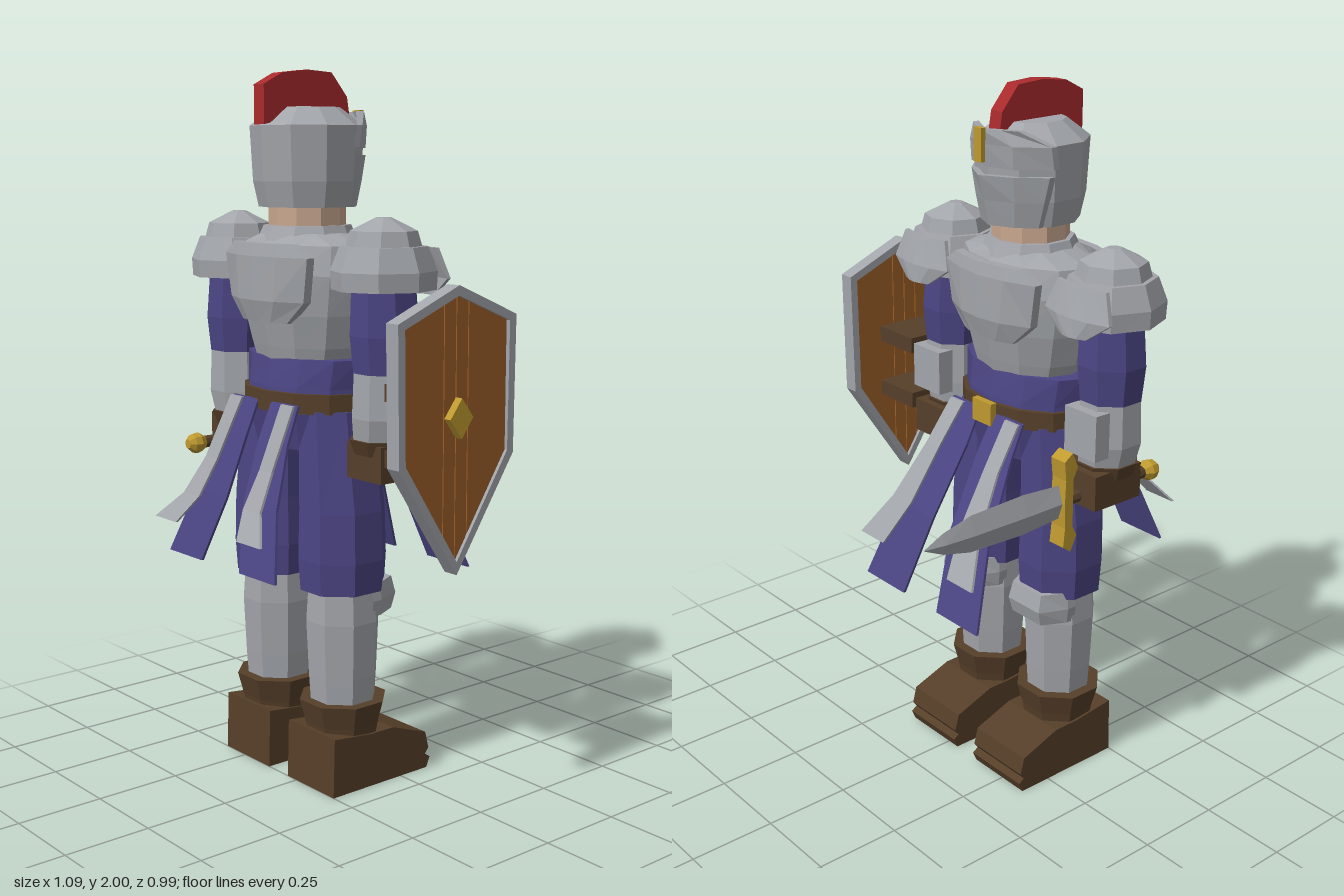
import * as THREE from 'three';

const mat = (name, color) => Object.assign(new THREE.MeshStandardMaterial({ color }), { name });

export function createModel() {
  const steel = mat('steel', 0xa2a5aa), cloth = mat('purpleCloth', 0x4b4583), leather = mat('brownLeather', 0x563f29);
  const wood = mat('shieldWood', 0x9b5f29), red = mat('redPlume', 0xa92a2c), gold = mat('gold', 0xbf9a30), skin = mat('skin', 0xc9a78f);
  const root = new THREE.Group();
  root.name = 'knight';
  const body = new THREE.Group();
  body.name = 'body';
  body.position.set(-0.085, 0, 0.13);
  root.add(body);

  // Adds a faceted mesh
  const add = (name, geo, material, x = 0, y = 0, z = 0) => {
    const g = geo.index ? geo.toNonIndexed() : geo;
    g.computeVertexNormals();
    const m = new THREE.Mesh(g, material);
    m.name = name;
    m.position.set(x, y, z);
    body.add(m);
    return m;
  };
  const box = (name, material, w, h, d, x, y, z) => add(name, new THREE.BoxGeometry(w, h, d), material, x, y, z);

  // Closed solid through rings of equal, even length; faces are turned outwards
  const loft = (rings) => {
    const n = rings[0].length, tris = [];
    const quad = (a, b, c, d) => tris.push([a, b, c], [a, c, d]);
    for (let r = 0; r + 1 < rings.length; r++)
      for (let i = 0; i < n; i++) {
        const j = (i + 1) % n;
        quad(rings[r][i], rings[r + 1][i], rings[r + 1][j], rings[r][j]);
      }
    const first = rings[0], last = rings[rings.length - 1];
    for (let i = 0; i < n / 2 - 1; i++) {
      quad(first[i], first[i + 1], first[n - 2 - i], first[n - 1 - i]);
      quad(last[n - 1 - i], last[n - 2 - i], last[i + 1], last[i]);
    }
    let vol = 0;
    for (const [a, b, c] of tris)
      vol += a[0] * (b[1] * c[2] - b[2] * c[1]) + a[1] * (b[2] * c[0] - b[0] * c[2]) + a[2] * (b[0] * c[1] - b[1] * c[0]);
    if (vol < 0) tris.forEach((t) => t.reverse());
    const g = new THREE.BufferGeometry();
    g.setAttribute('position', new THREE.Float32BufferAttribute(tris.flat(2), 3));
    return g;
  };

  // Upright faceted form; rows are [y, rx, rz, cx, cz]
  const turned = (rows, sides = 8, phase = 0.5) => loft(rows.map(([y, rx, rz = rx, cx = 0, cz = 0]) =>
    Array.from({ length: sides }, (_, i) => {
      const a = ((i + phase) / sides) * Math.PI * 2;
      return [cx + Math.sin(a) * rx, y, cz + Math.cos(a) * rz];
    })));

  // Thin bent plate; rows are [y, [[x, z], ...]]
  const plate = (rows, t) => loft(rows.map(([y, p]) => [
    ...p.map(([x, z]) => [x, y, z]),
    ...p.slice().reverse().map(([x, z]) => [x, y, z + t]),
  ]));
  const bent = (xo, zo, xm, zm, zc) => [[-xo, zo], [-xm, zm], [0, zc], [xm, zm], [xo, zo]];

  // Outline drawn as (-z, y), given thickness along x, centred on x
  const sideExtrude = (pts, width, holes = []) => {
    const shape = new THREE.Shape(pts.map(([z, y]) => new THREE.Vector2(-z, y)));
    holes.forEach((h) => shape.holes.push(new THREE.Path(h.map(([z, y]) => new THREE.Vector2(-z, y)))));
    return new THREE.ExtrudeGeometry(shape, { depth: width, bevelEnabled: false })
      .translate(0, 0, -width / 2).rotateY(Math.PI / 2);
  };

  // Head: neck, helmet, visor and plume
  add('neck', new THREE.CylinderGeometry(0.108, 0.108, 0.12, 10), skin, 0, 1.58, 0);
  add('helmet', turned([[1.63, 0.135], [1.7, 0.15], [1.85, 0.158], [1.9, 0.092]], 10, 0), steel);
  add('visor', plate([
    [1.63, bent(0.115, -0.075, 0.07, -0.12, -0.152)],
    [1.7, bent(0.135, -0.075, 0.08, -0.13, -0.168)],
    [1.77, bent(0.15, -0.07, 0.085, -0.14, -0.188)],
  ], 0.02), steel);
  add('browPlate', plate([
    [1.79, bent(0.155, -0.06, 0.085, -0.14, -0.165)],
    [1.85, bent(0.155, -0.07, 0.085, -0.145, -0.175)],
    [1.89, bent(0.09, -0.13, 0.05, -0.155, -0.183)],
  ], 0.02), steel);
  box('browOrnament', gold, 0.03, 0.09, 0.015, 0, 1.85, -0.184);
  add('plume', sideExtrude([[0.163, 1.852], [0.163, 1.958], [0.1, 1.99], [0.014, 2], [-0.07, 1.995],
    [-0.125, 1.93], [-0.137, 1.857], [-0.08, 1.87], [0.08, 1.87]], 0.045), red);

  // Torso
  add('collar', turned([[1.54, 0.14], [1.58, 0.122]], 10, 0), steel);
  add('cuirass', turned([[1.15, 0.15, 0.115], [1.25, 0.19, 0.14], [1.34, 0.215, 0.16], [1.45, 0.235, 0.168],
    [1.53, 0.225, 0.145], [1.56, 0.13, 0.125]], 12, 0), steel);
  for (const s of [1, -1])
    add(s > 0 ? 'backPlate' : 'chestPlate', plate([
      [1.32, bent(0.1, s * 0.152, 0.05, s * 0.17, s * 0.175)],
      [1.38, bent(0.165, s * 0.145, 0.08, s * 0.182, s * 0.192)],
      [1.5, bent(0.185, s * 0.148, 0.09, s * 0.18, s * 0.192)],
      [1.535, bent(0.13, s * 0.158, 0.08, s * 0.175, s * 0.185)],
    ], -s * 0.025), steel);
  add('tunic', turned([[0.965, 0.19, 0.125], [1.07, 0.215, 0.15], [1.14, 0.215, 0.145], [1.22, 0.225, 0.13]], 12, 0), cloth);
  add('belt', turned([[1.073, 0.225, 0.162], [1.128, 0.225, 0.162]], 12, 0), leather);
  box('buckle', gold, 0.08, 0.065, 0.02, 0, 1.1, -0.165);

  // Skirt panels: rows are [y, inner x, outer x, z]
  const panel = (name, rows, sx, sz, material) =>
    add(name, plate(rows.map(([y, a, b, z]) => [y, [[sx * a, sz * z], [sx * b, sz * z]]]), -sz * 0.008), material);
  const backCloth = [[1.1, 0.03, 0.15, 0.155], [1, 0.03, 0.16, 0.2], [0.83, 0.04, 0.19, 0.262], [0.65, 0.09, 0.25, 0.315]];
  const frontCloth = [[1.1, 0.03, 0.15, 0.155], [1, 0.025, 0.16, 0.21], [0.8, 0.04, 0.2, 0.32], [0.577, 0.075, 0.25, 0.402]];
  const backTrim = [[1.1, 0.09, 0.145, 0.168], [0.93, 0.1, 0.155, 0.25], [0.83, 0.105, 0.18, 0.31], [0.757, 0.145, 0.25, 0.362]];
  const frontTrim = [[1.1, 0.09, 0.145, 0.168], [0.98, 0.1, 0.155, 0.25], [0.83, 0.11, 0.19, 0.345], [0.715, 0.145, 0.25, 0.42]];

  for (const s of [1, -1]) {
    const side = s > 0 ? 'left' : 'right';
    panel(side + 'BackSkirt', backCloth, s, 1, cloth);
    panel(side + 'FrontSkirt', frontCloth, s, -1, cloth);
    panel(side + 'BackSkirtTrim', backTrim, s, 1, steel);
    panel(side + 'FrontSkirtTrim', frontTrim, s, -1, steel);

    // Leg
    const lx = s * 0.15;
    add(side + 'Thigh', turned([[0.57, 0.12, 0.124, lx], [0.66, 0.126, 0.13, lx], [0.8, 0.122, 0.126, lx],
      [1.08, 0.1, 0.115, s * 0.13]]), cloth);
    add(side + 'Shin', turned([[0.2, 0.092], [0.32, 0.1], [0.48, 0.107], [0.58, 0.1]]), steel, lx);
    add(side + 'KneePad', plate([
      [0.495, [[-0.095, -0.06], [-0.06, -0.13], [0.06, -0.13], [0.095, -0.06]]],
      [0.54, [[-0.1, -0.06], [-0.065, -0.142], [0.065, -0.142], [0.1, -0.06]]],
      [0.59, [[-0.095, -0.06], [-0.06, -0.13], [0.06, -0.13], [0.095, -0.06]]],
    ], 0.03), steel, lx);
    add(side + 'BootCuff', turned([[0.15, 0.105], [0.18, 0.11], [0.248, 0.128]]), leather, lx);
    add(side + 'Boot', sideExtrude([[0.12, 0], [0.115, 0.17], [-0.02, 0.155], [-0.1, 0.155], [-0.225, 0.11],
      [-0.238, 0.06], [-0.225, 0.042], [-0.243, 0.03], [-0.23, 0]], 0.21), leather, lx);

    // Arm
    const ax = s * 0.325;
    add(side + 'Pauldron', turned([[1.42, 0.138, 0.143], [1.47, 0.14, 0.146], [1.535, 0.115, 0.12]], 8, 0), steel, ax);
    add(side + 'PauldronCap', turned([[1.53, 0.103], [1.575, 0.09], [1.61, 0.02]], 8, 0), steel, ax);
    add(side + 'PauldronFlap', plate([
      [1.4, bent(0.05, -0.145, 0.025, -0.155, -0.16)],
      [1.45, bent(0.12, -0.13, 0.06, -0.148, -0.155)],
      [1.53, bent(0.09, -0.115, 0.05, -0.125, -0.13)],
    ], 0.012), steel, ax);
    add(side + 'UpperArm', turned([[1.2, 0.088, 0.088, s * 0.33], [1.3, 0.098, 0.098, s * 0.33], [1.44, 0.09]
      .concat(0.09, s * 0.325)]), cloth);
    add(side + 'Forearm', turned([[1, 0.08, 0.08, s * 0.32], [1.08, 0.092, 0.092, s * 0.33], [1.22, 0.086, 0.086, s * 0.33]]), steel);
    box(side + 'ForearmGuard', steel, 0.12, 0.13, 0.05, s * 0.33, 1.12, -0.085);
    box(side + 'Glove', leather, 0.14, 0.1, 0.17, s * 0.32, 0.96, -0.02);
    add(side + 'GloveCuff', turned([[0.98, 0.078], [1.02, 0.092]]), leather, s * 0.32);
  }

  // Sword, held level in the right hand
  const sx = -0.32, sy = 0.935;
  add('swordGrip', new THREE.CylinderGeometry(0.018, 0.018, 0.34, 8).rotateX(Math.PI / 2), leather, sx, sy, 0);
  add('swordPommel', loft([[0.14, 0.016], [0.165, 0.031], [0.185, 0.028], [0.2, 0.014]].map(([z, r]) =>
    Array.from({ length: 8 }, (_, i) => [Math.cos(i * Math.PI / 4) * r, Math.sin(i * Math.PI / 4) * r, z]))), gold, sx, sy);
  add('swordGuard', sideExtrude([[-0.145, 0], [-0.145, 0.07], [-0.13, 0.1], [-0.15, 0.145], [-0.178, 0.125], [-0.172, 0.07],
    [-0.175, 0], [-0.172, -0.07], [-0.178, -0.125], [-0.15, -0.145], [-0.13, -0.1], [-0.145, -0.07]], 0.054), gold, sx, sy);
  add('swordBlade', loft([[-0.165, 0.017, 0.048], [-0.3, 0.019, 0.058], [-0.48, 0.017, 0.052], [-0.57, 0.011, 0.03], [-0.63, 0.001, 0.002]]
    .map(([z, w, h]) => [[w, 0, z], [0, h, z], [-w, 0, z], [0, -h, z]])), steel, sx, sy);

  // Shield with planks, rim, boss and arm straps
  const rim = [[-0.205, 1.365], [0, 1.45], [0.205, 1.365], [0.2, 1.0], [0, 0.7], [-0.2, 1.0]];
  const inset = [[-0.182, 1.35], [0, 1.424], [0.182, 1.35], [0.178, 1.008], [0, 0.735], [-0.178, 1.008]];
  add('shieldRim', sideExtrude(rim, 0.045, [inset]), steel, 0.593);
  const top = (z) => 1.424 - Math.abs(z) * 0.407, low = (z) => 0.735 + Math.abs(z) * 1.534;
  const cuts = [-0.18, -0.042, 0, 0.042, 0.18];
  for (let i = 0; i < 4; i++) {
    const a = cuts[i] + 0.0015, b = cuts[i + 1] - 0.0015;
    add('shieldPlank', sideExtrude([[a, low(a)], [a, top(a)], [b, top(b)], [b, low(b)]], 0.026), wood, 0.593);
  }
  add('shieldBoss', sideExtrude([[-0.04, 1.113], [0, 1.165], [0.04, 1.113], [0, 1.06]], 0.035), gold, 0.612);
  for (const y of [1.163, 0.988]) box('shieldStrap', leather, 0.16, 0.047, 0.175, 0.505, y, -0.005);

  return root;
}
